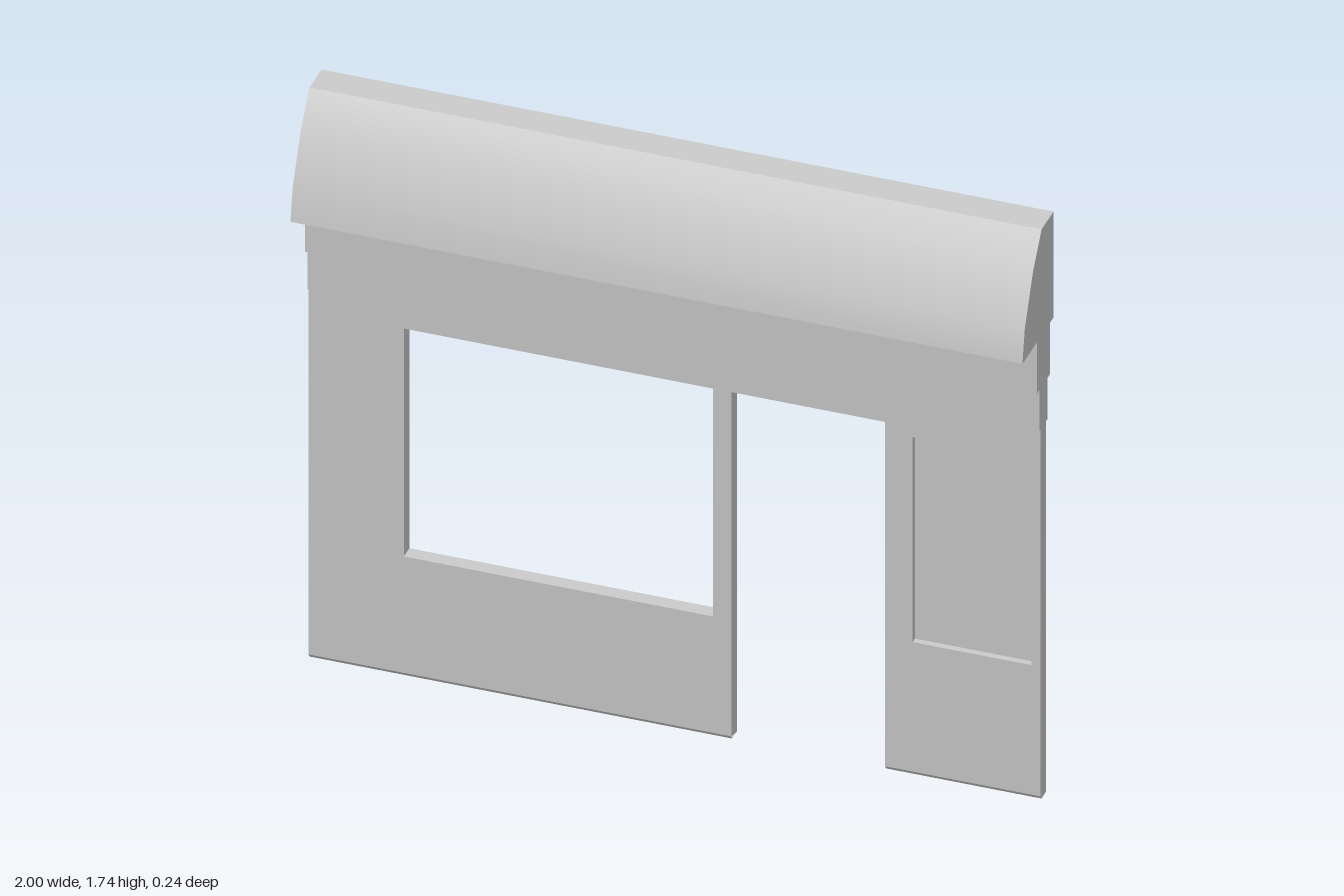
import * as THREE from 'three';

const FRONT = -0.018, BACK = -0.06;
const material = new THREE.MeshStandardMaterial({ color: 0xcccccc, side: THREE.DoubleSide });

function mesh(name, geometry) {
  const m = new THREE.Mesh(geometry, material);
  m.name = name;
  return m;
}

// Surface ruled between two polylines of [x, y, z] points
function strip(a, b, smooth = false) {
  let g = new THREE.BufferGeometry();
  const index = [], n = a.length;
  for (let i = 0; i < n - 1; i++) index.push(i, i + 1, n + i + 1, i, n + i + 1, n + i);
  g.setAttribute('position', new THREE.Float32BufferAttribute([...a, ...b].flat(), 3));
  g.setIndex(index);
  if (!smooth) g = g.toNonIndexed();
  g.computeVertexNormals();
  return g;
}

// Run a [z, y] profile along x
const run = (profile, x0 = -1, x1 = 1, smooth = false) =>
  strip(profile.map(([z, y]) => [x0, y, z]), profile.map(([z, y]) => [x1, y, z]), smooth);

// Return the edge of an opening backwards from the wall face
const reveal = (points, back = BACK) => strip(
  points.map(([x, y]) => [x, Math.max(y, 0.01), FRONT]),
  points.map(([x, y]) => [x, y, back]));

const rect = (x0, y0, x1, y1) => [[x0, y0], [x1, y0], [x1, y1], [x0, y1], [x0, y0]];
const toVectors = (points) => points.map(([x, y]) => new THREE.Vector2(x, y));

export function createModel() {
  const group = new THREE.Group();
  const windowEdge = rect(-0.74, 0.365, 0.105, 1.06);
  const panelEdge = rect(0.65, 0.405, 0.975, 1.03);
  const doorEdge = [[0.575, 0], [0.575, 1.06], [0.155, 1.06], [0.155, 0]];

  // Wall face with doorway notch, window hole and panel hole
  const wall = new THREE.Shape(toVectors([
    [-1, 0.01], [0.155, 0.01], [0.155, 1.06], [0.575, 1.06], [0.575, 0.01], [1, 0.01], [1, 1.13], [-1, 1.13]]));
  for (const edge of [windowEdge, panelEdge]) wall.holes.push(new THREE.Path(toVectors(edge.slice(0, 4))));
  group.add(mesh('wallFace', new THREE.ShapeGeometry(wall).translate(0, 0, FRONT)));
  group.add(mesh('windowReveal', reveal(windowEdge)));
  group.add(mesh('doorReveal', reveal(doorEdge)));

  // Shallow recessed panel beside the door
  const depth = FRONT - 0.018;
  group.add(mesh('panelReveal', reveal(panelEdge, depth)));
  group.add(mesh('panel', new THREE.ShapeGeometry(new THREE.Shape(toVectors(panelEdge.slice(0, 4)))).translate(0, 0, depth)));

  // Chamfered wall foot on each side of the doorway
  const foot = [[FRONT, 0.01], [FRONT - 0.006, 0], [BACK, 0]];
  group.add(mesh('wallFootRight', run(foot, -1, 0.155)));
  group.add(mesh('wallFootLeft', run(foot, 0.575, 1)));

  // Stepped fascia bands and canopy, open at the back
  const curve = [[-0.025, 1.735], [0.04, 1.645], [0.103, 1.505], [0.12, 1.412]];
  const bands = [[0.12, 1.412], [0.01, 1.412], [0.01, 1.255], [-0.008, 1.255], [-0.008, 1.13], [FRONT, 1.13]];
  group.add(mesh('canopyTop', run([[-0.116, 1.735], curve[0]])));
  group.add(mesh('canopyFront', run(curve, -1, 1, true)));
  group.add(mesh('fasciaBands', run(bands)));

  // End plate closing the left side only
  const side = [...curve, ...bands.slice(1), ...foot,
    [BACK, 1.13], [-0.07, 1.13], [-0.07, 1.255], [-0.09, 1.255], [-0.09, 1.412], [-0.116, 1.412], [-0.116, 1.735]];
  const plate = new THREE.Shape(toVectors(side.map(([z, y]) => [-z, y])));
  group.add(mesh('endPlate', new THREE.ShapeGeometry(plate).rotateY(Math.PI / 2).translate(1, 0, 0)));

  return group;
}
